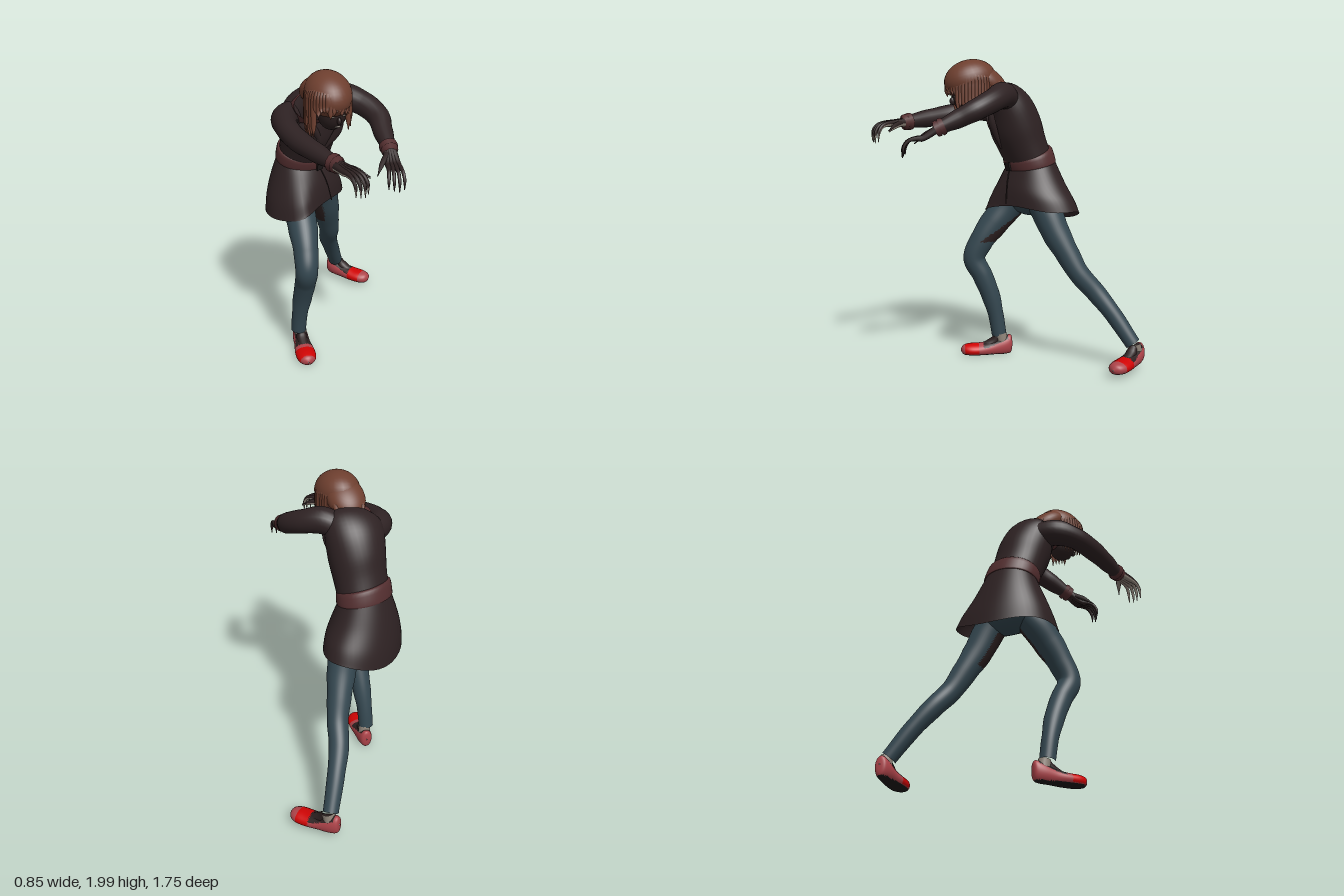
import * as THREE from 'three';

const V = (p) => new THREE.Vector3(p[0], p[1], p[2]);
const mat = (name, color, side = THREE.FrontSide) => {
  const m = new THREE.MeshStandardMaterial({ color, side });
  m.name = name;
  return m;
};

export function createModel() {
  const coat = mat('coat brown', 0x2e2223, THREE.DoubleSide);
  const leather = mat('leather', 0x532e2f, THREE.DoubleSide);
  const denim = mat('denim', 0x344750);
  const hairMat = mat('hair', 0x6e3f2f, THREE.DoubleSide);
  const shoePink = mat('shoe pink', 0xae444a);
  const shoeRed = mat('shoe red', 0xd00404);
  const skin = mat('skin', 0x90857a);
  const dark = mat('dark skin', 0x2c2020);
  const soleMat = mat('sole', 0x1c1818);

  const model = new THREE.Group();
  let seed = 7;
  const rnd = () => (seed = (seed * 16807) % 2147483647) / 2147483647;

  const add = (name, geo, material, parent = model) => {
    const m = new THREE.Mesh(geo, material);
    m.name = name;
    parent.add(m);
    return m;
  };

  // Tube along points [x, y, z, radius]
  const tube = (pts, segs = 20, sides = 16) => {
    const curve = new THREE.CatmullRomCurve3(pts.map(V));
    const geo = new THREE.TubeGeometry(curve, segs, 1, sides);
    const pos = geo.attributes.position, q = new THREE.Vector3();
    for (let i = 0; i <= segs; i++) {
      const c = curve.getPointAt(i / segs);
      const t = curve.getUtoTmapping(i / segs) * (pts.length - 1);
      const k = Math.min(Math.floor(t), pts.length - 2);
      const r = THREE.MathUtils.lerp(pts[k][3], pts[k + 1][3], THREE.MathUtils.smoothstep(t - k, 0, 1));
      for (let j = 0; j <= sides; j++) {
        const n = i * (sides + 1) + j;
        q.fromBufferAttribute(pos, n).sub(c).multiplyScalar(r).add(c);
        pos.setXYZ(n, q.x, q.y, q.z);
      }
    }
    return geo;
  };

  // Skin over rings [x, y, z, halfWidth, halfDepth, yaw, pitch, roll], smoothly interpolated
  const loft = (rows, sub = 5, sides = 36, rule) => {
    const at = (i, k) => rows[THREE.MathUtils.clamp(i, 0, rows.length - 1)][k] || 0;
    const P = [], idx = [], n = (rows.length - 1) * sub;
    for (let s = 0; s <= n; s++) {
      const i = Math.min(Math.floor(s / sub), rows.length - 2), t = s / sub - i;
      const r = [0, 1, 2, 3, 4, 5, 6, 7].map((k) => {
        const [a, b, c, d] = [at(i - 1, k), at(i, k), at(i + 1, k), at(i + 2, k)];
        return b + 0.5 * t * (c - a + t * (2 * a - 5 * b + 4 * c - d + t * (3 * (b - c) + d - a)));
      });
      const e = new THREE.Euler(r[6], r[5], r[7], 'YXZ');
      for (let j = 0; j < sides; j++) {
        const a = (j / sides) * Math.PI * 2;
        const p = new THREE.Vector3(r[3] * Math.cos(a), 0, r[4] * Math.sin(a)).applyEuler(e).add(V(r));
        if (rule) rule(p, a, s / n);
        P.push(p.x, p.y, p.z);
        if (s < n) {
          const A = s * sides + j, B = s * sides + ((j + 1) % sides);
          idx.push(A, A + sides, B, B, A + sides, B + sides);
        }
      }
    }
    const geo = new THREE.BufferGeometry();
    geo.setAttribute('position', new THREE.Float32BufferAttribute(P, 3));
    geo.setIndex(idx);
    geo.computeVertexNormals();
    return geo;
  };

  // Sort faces into material groups by face centre and normal
  const paint = (geo, count, pick) => {
    const sets = Array.from({ length: count }, () => []), ix = geo.index.array;
    const c = new THREE.Vector3(), n = new THREE.Vector3(), q = new THREE.Vector3();
    for (let f = 0; f < ix.length; f += 3) {
      c.set(0, 0, 0); n.set(0, 0, 0);
      for (let k = 0; k < 3; k++) {
        c.add(q.fromBufferAttribute(geo.attributes.position, ix[f + k]));
        n.add(q.fromBufferAttribute(geo.attributes.normal, ix[f + k]));
      }
      sets[pick(c.divideScalar(3), n.normalize())].push(ix[f], ix[f + 1], ix[f + 2]);
    }
    geo.setIndex(sets.flat());
    geo.clearGroups();
    let start = 0;
    sets.forEach((s, k) => { geo.addGroup(start, s.length, k); start += s.length; });
    return geo;
  };

  const ball = (name, p, r, material, rot = [0, 0, 0]) => {
    const m = add(name, new THREE.SphereGeometry(1, 28, 20), material);
    m.position.set(...p); m.scale.set(...r); m.rotation.set(...rot);
  };

  // Coat: bodice, flared skirt draped over the forward thigh, belt and collar
  add('bodice', loft([
    [-0.17, 1.3, -0.175, 0.17, 0.142, 0.5, 0.25],
    [-0.155, 1.45, -0.11, 0.175, 0.155, 0.42, 0.32],
    [-0.145, 1.57, -0.065, 0.185, 0.168, 0.35, 0.42, 0.05],
    [-0.14, 1.68, -0.02, 0.19, 0.153, 0.3, 0.6, 0.18],
    [-0.135, 1.755, 0.035, 0.175, 0.115, 0.25, 0.85, 0.28],
    [-0.12, 1.785, 0.1, 0.09, 0.075, 0.2, 1.0, 0.2],
    [-0.11, 1.80, 0.15, 0.06, 0.06, 0.2, 1.0, 0.1]]), coat);
  add('skirt', loft([
    [-0.155, 1.0, -0.21, 0.315, 0.222, 0.72, -0.2, 0.06],
    [-0.16, 1.09, -0.2, 0.287, 0.212, 0.68, -0.12, 0.04],
    [-0.165, 1.21, -0.18, 0.228, 0.185, 0.58, 0.08],
    [-0.17, 1.34, -0.165, 0.172, 0.145, 0.5, 0.25]], 6, 48,
    (p, a, t) => {
      const thigh = Math.exp(-((p.x + 0.23) ** 2) / 0.012) * THREE.MathUtils.smoothstep(p.z, -0.1, 0);
      p.z += 0.075 * thigh * (1 - t);
      p.y += 0.014 * (1 - t) * Math.cos(3 * a + 1);
    }), coat);
  add('skirt seam', tube([[-0.092, 1.3, -0.02, 0.004], [-0.05, 1.2, 0.0, 0.004], [-0.02, 1.07, 0.01, 0.004]], 10, 6), dark);
  add('belt', loft([
    [-0.17, 1.314, -0.168, 0.181, 0.155, 0.5, 0.22],
    [-0.17, 1.322, -0.166, 0.188, 0.16, 0.5, 0.23],
    [-0.167, 1.388, -0.146, 0.182, 0.158, 0.5, 0.33],
    [-0.166, 1.396, -0.142, 0.16, 0.138, 0.5, 0.34]], 3, 40), leather);
  const buckle = add('buckle', new THREE.BoxGeometry(0.045, 0.055, 0.012), soleMat);
  buckle.position.set(-0.092, 1.308, -0.01); buckle.rotation.set(0.2, 0.5, 0);
  add('collar', loft([
    [-0.135, 1.735, 0.055, 0.165, 0.11, 0.25, 0.85, 0.28],
    [-0.13, 1.762, 0.1, 0.152, 0.1, 0.25, 0.95, 0.28],
    [-0.13, 1.772, 0.125, 0.146, 0.095, 0.25, 0.95, 0.28]], 3, 36), leather);
  for (const s of [-1, 1]) {
    add('lapel', tube([[-0.09 + s * 0.11, 1.68, 0.115, 0.02], [-0.07 + s * 0.07, 1.58, 0.095, 0.024],
      [-0.08, 1.43, 0.035, 0.008]], 14, 10), coat);
  }

  // Arms with strapped cuffs
  const arms = {
    left: [[-0.03, 1.745, 0.0, 0.08], [0.05, 1.772, 0.035, 0.085], [0.16, 1.74, 0.11, 0.074],
      [0.222, 1.69, 0.21, 0.068], [0.222, 1.64, 0.31, 0.06], [0.225, 1.58, 0.44, 0.043]],
    right: [[-0.25, 1.68, 0.0, 0.085], [-0.325, 1.68, 0.09, 0.084], [-0.335, 1.665, 0.22, 0.07],
      [-0.295, 1.64, 0.36, 0.067], [-0.225, 1.62, 0.5, 0.058], [-0.145, 1.6, 0.64, 0.042]],
  };
  for (const side of ['left', 'right']) {
    const pts = arms[side];
    add(side + 'Sleeve', tube(pts, 32, 20), coat);
    const w = V(pts[5]), d = w.clone().sub(V(pts[4])).normalize();
    const ring = (k, r) => [...w.clone().addScaledVector(d, k).toArray(), r];
    add(side + 'Cuff', tube([ring(-0.035, 0.04), ring(-0.025, 0.054), ring(-0.006, 0.056), ring(0, 0.044),
      ring(0.008, 0.052), ring(0.026, 0.05), ring(0.034, 0.03)], 24, 18), leather);
  }

  // Clawed hands; a lighter layer lines the right palm
  const hand = (name, wrist, knuckle, reach, across, thumb, material, off = 0, k = 1) => {
    const g = new THREE.Group();
    g.name = name;
    g.position.y = off;
    model.add(g);
    const W = V(wrist), K = V(knuckle), D = V(reach), S = V(across);
    for (let i = -1.5; i < 2; i++) {
      const at = (s, f, drop, r) => [...K.clone().addScaledVector(S, s * i).addScaledVector(D, f).toArray(), r * k]
        .map((v, n) => (n === 1 ? v - drop : v));
      const len = 1 - 0.08 * Math.abs(i - 0.3);
      add('finger', tube([[...W.clone().addScaledVector(S, 0.012 * i).toArray(), 0.024 * k], at(0.02, -0.03, 0, 0.019),
        at(0.022, 0, 0, 0.015), at(0.027, 0.055 * len, 0.012, 0.011), at(0.03, 0.088 * len, 0.055 * len, 0.01),
        at(0.03, 0.094 * len, 0.12 * len, 0.003)], 18, 8), material, g);
    }
    const m = W.clone().lerp(V(thumb), 0.55);
    add('thumb', tube([[...wrist, 0.02 * k], [m.x, m.y + 0.012, m.z, 0.017 * k], [...thumb, 0.003]], 12, 8), material, g);
  };
  const rightHand = [[-0.14, 1.6, 0.655], [-0.08, 1.595, 0.77], [0.5, 0, 0.86], [0.86, 0, -0.5], [0.03, 1.55, 0.755]];
  hand('rightHand', ...rightHand, dark);
  hand('rightPalm', ...rightHand, skin, -0.008, 0.9);
  hand('leftHand', [0.225, 1.575, 0.45], [0.22, 1.515, 0.575], [-0.08, 0, 1], [1, 0, 0.08], [0.115, 1.475, 0.595], dark);

  // Legs with darker inner thigh patches
  ball('hips', [-0.14, 1.1, -0.17], [0.18, 0.12, 0.135], denim, [0, 0.6, 0]);
  const rightLeg = tube([[-0.2, 1.14, -0.13, 0.08], [-0.225, 1.03, -0.025, 0.1], [-0.222, 0.92, 0.07, 0.095],
    [-0.222, 0.8, 0.155, 0.08], [-0.228, 0.68, 0.205, 0.073], [-0.228, 0.56, 0.15, 0.068], [-0.238, 0.42, 0.095, 0.063],
    [-0.25, 0.28, 0.058, 0.052], [-0.257, 0.14, 0.035, 0.05]], 96, 40);
  add('rightLeg', paint(rightLeg, 2, (c, n) =>
    (c.y > 0.8 && c.y < 1 && n.x > 0.1 && c.z < 0.175 - 1.47 * (c.y - 0.8) ? 1 : 0)), [denim, dark]);
  const leftLeg = tube([[-0.06, 1.12, -0.21, 0.1], [-0.02, 1.0, -0.265, 0.1], [0.01, 0.88, -0.315, 0.092],
    [0.04, 0.75, -0.385, 0.078], [0.068, 0.62, -0.46, 0.068], [0.085, 0.5, -0.565, 0.064], [0.13, 0.36, -0.675, 0.056],
    [0.192, 0.175, -0.797, 0.05]], 96, 40);
  add('leftLeg', paint(leftLeg, 2, (c, n) => (c.y > 0.77 && c.y < 1 && n.x < -0.25 && n.z > 0.25 ? 1 : 0)), [denim, dark]);

  // Slip-on shoes: pink body, red band, dark instep, black sole
  const foot = (name, p, yaw, pitch, bandStart, bandEnd) => {
    const g = new THREE.Group();
    g.name = name;
    g.position.set(...p); g.rotation.set(pitch, yaw, 0, 'YXZ');
    model.add(g);
    const rows = [[0, 0.075, 0, 0.003, 0.004], [0, 0.07, 0.01, 0.034, 0.06], [0, 0.058, 0.06, 0.05, 0.066],
      [0, 0.042, 0.14, 0.055, 0.052], [0, 0.035, 0.22, 0.066, 0.044], [0, 0.034, 0.29, 0.064, 0.042],
      [0, 0.034, 0.335, 0.042, 0.032], [0, 0.034, 0.355, 0.003, 0.004]].map((r) => [...r, 0, Math.PI / 2, 0]);
    const geo = loft(rows, 6, 32, (q) => { q.y = Math.max(q.y, 0.004); });
    add('shoe', paint(geo, 4, (c, n) => {
      if (c.y < 0.011) return 3;
      if (n.y > 0.5 && c.z > 0.03 && c.z < 0.2) return 2;
      return c.z > bandStart && c.z < bandEnd && c.y > 0.015 ? 1 : 0;
    }), [shoePink, shoeRed, dark, soleMat], g);
    add('ankle', tube([[0, 0.05, 0.06, 0.044], [0, 0.1, 0.072, 0.042], [0, 0.145, 0.08, 0.038]], 8, 16), skin, g);
    add('instep', tube([[0, 0.12, 0.096, 0.028], [0, 0.085, 0.125, 0.036], [0, 0.045, 0.2, 0.034]], 10, 14), dark, g);
  };
  foot('rightFoot', [-0.242, 0.005, -0.055], 0.0, 0, 0.235, 0.325);
  foot('leftFoot', [0.148, 0.045, -0.862], 0.83, 0.03, 0.2, 0.29);

  // Bowed head and face
  add('neck', tube([[-0.12, 1.76, 0.06, 0.06], [-0.105, 1.8, 0.15, 0.055], [-0.095, 1.83, 0.22, 0.06]], 8, 14), dark);
  ball('face', [-0.075, 1.765, 0.262], [0.088, 0.115, 0.09], dark, [0.3, 0.2, 0]);
  ball('nose', [-0.052, 1.735, 0.348], [0.013, 0.024, 0.02], dark);
  for (const s of [-1, 1]) ball('eye', [-0.055 + s * 0.035, 1.762, 0.342 - s * 0.008], [0.012, 0.005, 0.006], skin);
  ball('mouth', [-0.055, 1.69, 0.318], [0.02, 0.007, 0.008], skin);

  // Hair: smooth cap and nape, with loose locks hanging from the sides and a short parted brow
  ball('hairCap', [-0.092, 1.87, 0.235], [0.138, 0.128, 0.17], hairMat, [0.25, 0.2, 0]);
  ball('hairNape', [-0.118, 1.865, 0.125], [0.12, 0.082, 0.15], hairMat, [-0.6, 0.2, 0]);
  const hair = new THREE.Group();
  hair.name = 'hairLocks';
  model.add(hair);
  for (let k = 0; k < 46; k++) {
    const a = (k / 46) * Math.PI * 2 + 0.15, s = Math.sin(a), c = Math.cos(a), brow = c > 0.6;
    const drop = brow ? 0.07 + 0.045 * rnd() : 0.18 + 0.05 * rnd() + 0.05 * Math.min(0, c) + (s < 0 ? 0.03 : -0.01);
    const at = (f, dy, r) => [-0.094 + s * 0.134 * f, 1.875 + dy, 0.235 + c * 0.155 * f, r];
    add('lock', tube([at(0.72, 0.05, 0.016), at(0.9, 0.015, 0.018), at(0.93, -0.04, 0.02),
      at(0.95, -0.6 * drop - 0.01, 0.017), at(0.91 + 0.14 * rnd(), -drop, 0.002)], 14, 8), hairMat, hair);
  }
  for (let k = 0; k < 9; k++) {
    const x = -0.2 + k * 0.02, e = 0.04 * rnd();
    add('napeLock', tube([[x, 1.87, 0.09, 0.018], [x, 1.835, 0.04, 0.02], [x - 0.005, 1.8, 0.02 - e, 0.003]], 10, 8), hairMat, hair);
  }
  return model;
}
